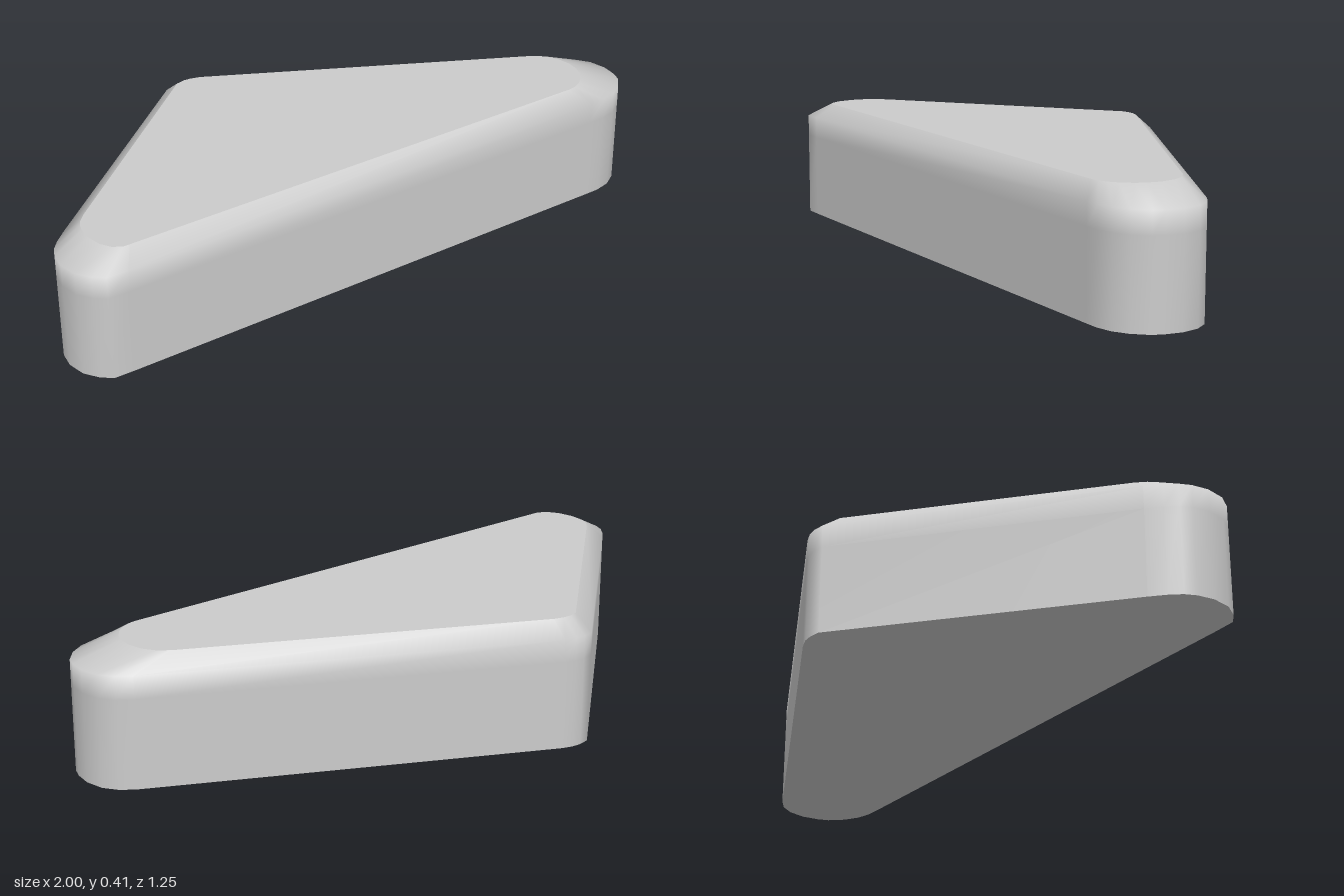
import * as THREE from 'three';

// Matched corner points: outer wall x, z, then top face x, z
const OUTLINE = [
  // small back right corner
  [-0.6, -0.585, -0.565, -0.53], [-0.57, -0.607, -0.54, -0.552],
  [-0.54, -0.62, -0.515, -0.563], [-0.5, -0.625, -0.48, -0.57],
  // wide back left corner
  [0.83, -0.625, 0.71, -0.57], [0.885, -0.617, 0.755, -0.56],
  [0.935, -0.59, 0.795, -0.535], [0.975, -0.54, 0.83, -0.49],
  [0.995, -0.485, 0.845, -0.445], [1, -0.445, 0.848, -0.41],
  [0.985, -0.385, 0.84, -0.365], [0.955, -0.335, 0.825, -0.333],
  [0.91, -0.297, 0.805, -0.308], [0.86, -0.27, 0.78, -0.29],
  // wide front right corner
  [-0.78, 0.588, -0.77, 0.52], [-0.845, 0.62, -0.79, 0.53],
  [-0.89, 0.61, -0.825, 0.527], [-0.94, 0.582, -0.86, 0.505],
  [-0.98, 0.53, -0.895, 0.46], [-0.998, 0.475, -0.912, 0.415],
  [-1, 0.435, -0.917, 0.385], [-0.99, 0.39, -0.915, 0.362],
  [-0.97, 0.335, -0.905, 0.325],
];

export function createModel() {
  const group = new THREE.Group();
  group.name = 'wedgeBlock';
  const material = new THREE.MeshStandardMaterial({ color: 0xcccccc });
  const add = (name, geometry) => {
    const mesh = new THREE.Mesh(geometry, material);
    mesh.name = name;
    group.add(mesh);
  };

  const outer = OUTLINE.map(([x, z]) => [x, z]);
  const inner = OUTLINE.map((p) => [p[2], p[3]]);
  const n = OUTLINE.length;
  const height = 0.415;

  // Upright wall and bevel, lofted through horizontal rings
  const rings = [[outer, 0], [outer, 0.29], [outer, 0.365], [inner, height]];
  const positions = [];
  const indices = [];
  rings.forEach(([points, y], r) => {
    points.forEach(([x, z], i) => {
      positions.push(x, y, z);
      if (r === 0) return;
      const j = (i + 1) % n;
      const a = (r - 1) * n + i, b = (r - 1) * n + j;
      const c = r * n + i, d = r * n + j;
      indices.push(a, c, b, b, c, d);
    });
  });
  const side = new THREE.BufferGeometry();
  side.setAttribute('position', new THREE.Float32BufferAttribute(positions, 3));
  side.setIndex(indices);
  side.computeVertexNormals();
  add('bevelledWall', side);

  // Flat caps with their own normals, so their edges stay sharp
  const cap = (points, y, dir) => {
    const shape = new THREE.Shape(points.map(([x, z]) => new THREE.Vector2(x, -dir * z)));
    return new THREE.ShapeGeometry(shape).rotateX(-dir * Math.PI / 2).translate(0, y, 0);
  };
  add('topFace', cap(inner, height, 1));
  add('bottomFace', cap(outer, 0, -1));
  return group;
}
